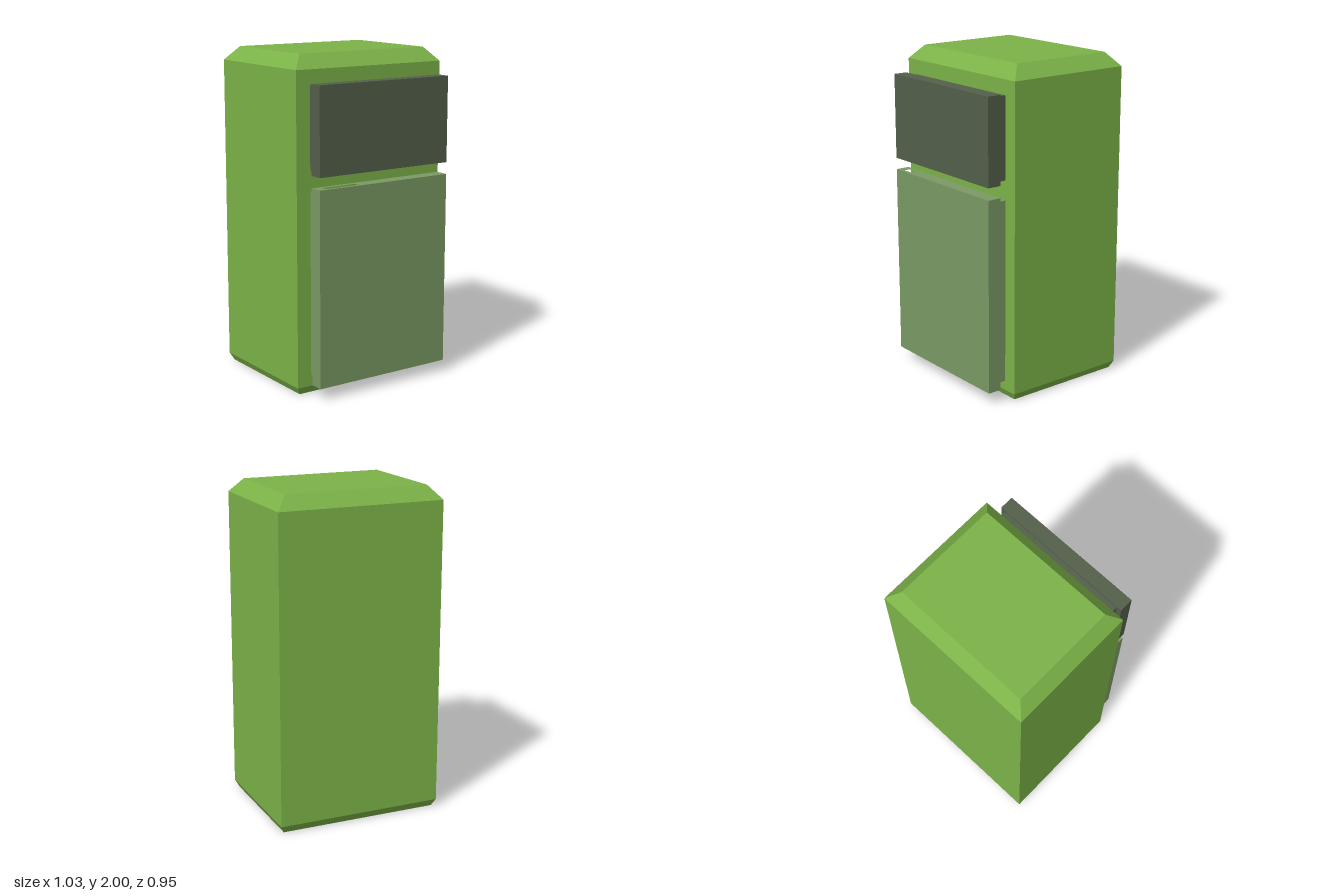
import * as THREE from 'three';

const paint = (color) => new THREE.MeshStandardMaterial({ color, flatShading: true });

// Box given by its limits on each axis
function block(name, material, [x0, x1], [y0, y1], [z0, z1]) {
  const mesh = new THREE.Mesh(new THREE.BoxGeometry(x1 - x0, y1 - y0, z1 - z0), material);
  mesh.position.set((x0 + x1) / 2, (y0 + y1) / 2, (z0 + z1) / 2);
  mesh.name = name;
  return mesh;
}

// Cabinet: a box in three tiers, the outer tiers tapered into bevels
function cabinet(material) {
  const levels = [
    { y: 0, x: 0.493, back: -0.455, front: 0.31 },
    { y: 0.045, x: 0.516, back: -0.477, front: 0.33 },
    { y: 1.917, x: 0.516, back: -0.477, front: 0.33 },
    { y: 2, x: 0.443, back: -0.405, front: 0.257 },
  ];
  const geometry = new THREE.BoxGeometry(1, 1, 1, 1, 3, 1);
  const p = geometry.attributes.position;
  for (let i = 0; i < p.count; i++) {
    const l = levels[Math.round((p.getY(i) + 0.5) * 3)];
    p.setXYZ(i, Math.sign(p.getX(i)) * l.x, l.y, p.getZ(i) > 0 ? l.front : l.back);
  }
  const flat = geometry.toNonIndexed();
  flat.computeVertexNormals();
  const mesh = new THREE.Mesh(flat, material);
  mesh.name = 'cabinet';
  return mesh;
}

// Rectangle in x and z, drawn so that extrusion runs up y
function rectangle(Type, [x0, x1], [z0, z1]) {
  return new Type([[x0, z0], [x1, z0], [x1, z1], [x0, z1]].map(([x, z]) => new THREE.Vector2(x, -z)));
}

// Door panel with a finger pocket in its top or bottom edge, on a smaller gasket
function door(name, material, [y0, y1], gasketInset, pocketOnTop) {
  const group = new THREE.Group();
  group.name = name;
  const width = [-0.456, 0.462];
  const depth = [0.391, 0.477];
  const pocket = 0.05;

  const rim = rectangle(THREE.Shape, width, depth);
  rim.holes.push(rectangle(THREE.Path, [-0.4, -0.175], [0.42, 0.456]));
  const grip = new THREE.Mesh(
    new THREE.ExtrudeGeometry(rim, { depth: pocket, bevelEnabled: false }).rotateX(-Math.PI / 2),
    material,
  );
  grip.name = 'gripEdge';
  grip.position.y = pocketOnTop ? y1 - pocket : y0;

  const panelY = pocketOnTop ? [y0, y1 - pocket] : [y0 + pocket, y1];
  group.add(
    grip,
    block('panel', material, width, panelY, depth),
    block('gasket', material, [-0.423, 0.43], [y0 + gasketInset, y1 - gasketInset], [0.33, 0.391]),
  );
  return group;
}

export function createModel() {
  const model = new THREE.Group();
  model.name = 'refrigerator';
  model.add(
    cabinet(paint(0x7cb348)),
    door('freezerDoor', paint(0x545f4b), [1.322, 1.842], 0.015, false),
    door('fridgeDoor', paint(0x7a9a64), [0.073, 1.25], 0.031, true),
  );
  return model;
}
